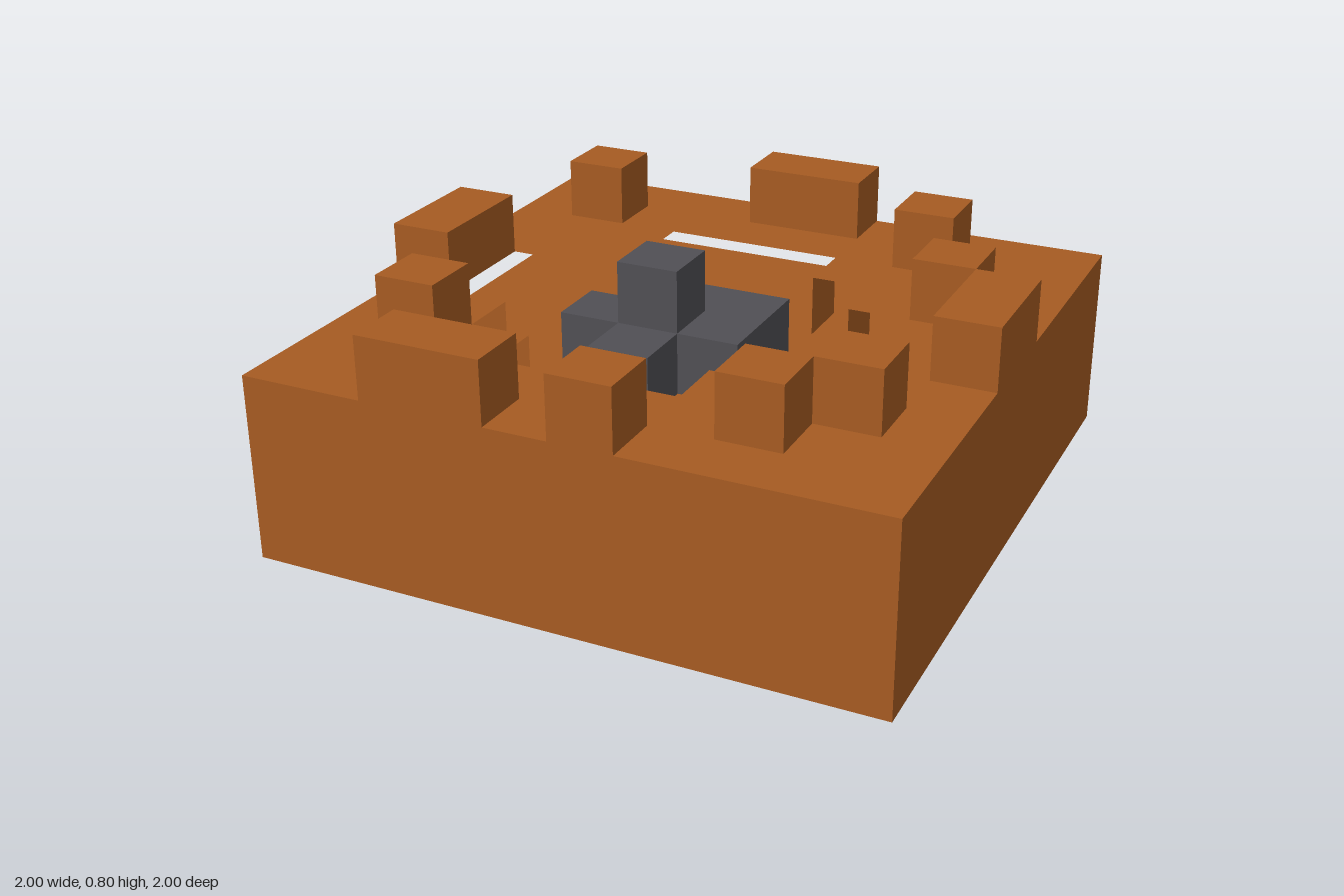
import * as THREE from 'three';

const earth = new THREE.MeshStandardMaterial({ name: 'burnt earth', color: 0xa65b22 });
const stone = new THREE.MeshStandardMaterial({ name: 'dark stone', color: 0x504f54 });

const CELL = 0.2;

// Turns [x, z] corners into plan points (plan y points to the back)
const plan = (corners) => corners.map(([x, z]) => new THREE.Vector2(x, -z));
const square = (x0, z0, x1, z1) => [[x0, z0], [x1, z0], [x1, z1], [x0, z1]];

// Upright slab from a plan outline, with an optional hole
function slab(name, material, outline, y, height, hole) {
  const shape = new THREE.Shape(plan(outline));
  if (hole) shape.holes.push(new THREE.Path(plan(hole)));
  const geometry = new THREE.ExtrudeGeometry(shape, { depth: height, bevelEnabled: false });
  geometry.rotateX(-Math.PI / 2);
  const mesh = new THREE.Mesh(geometry, material);
  mesh.name = name;
  mesh.position.y = y;
  return mesh;
}

// Box from its back-left plan corner, measured in cells
function block(name, material, x, z, y, w, d, h) {
  const mesh = new THREE.Mesh(new THREE.BoxGeometry(w, h, d), material);
  mesh.name = name;
  mesh.position.set(x + w / 2, y + h / 2, z + d / 2);
  return mesh;
}

export function createModel() {
  const model = new THREE.Group();
  model.name = 'crater';

  const ground = square(-1, -1, 1, 1);
  const pit = [
    [-0.4, -0.6], [0.2, -0.6], [0.2, -0.4], [0.4, -0.4], [0.4, -0.2], [0.6, -0.2],
    [0.6, 0.2], [0.4, 0.2], [0.4, 0.4], [0.2, 0.4], [0.2, 0.6], [-0.4, 0.6],
    [-0.4, 0.4], [-0.6, 0.4], [-0.6, 0.2], [-0.8, 0.2], [-0.8, -0.2], [-0.6, -0.2],
    [-0.6, -0.4], [-0.4, -0.4],
  ];

  // Ground: pierced base below, stepped round pit above
  model.add(slab('groundBase', earth, ground, 0, 0.4, square(-0.2, 0, 0, 0.2)));
  model.add(slab('pitRim', earth, ground, 0.4, 0.2, pit));

  // Thrown-up clods around the pit: x, z, width, depth
  const clods = new THREE.Group();
  clods.name = 'clods';
  [
    [-0.2, -1, 2, 1], [-0.8, -0.8, 1, 1], [0.4, -0.8, 1, 1], [0.6, -0.4, 1, 1],
    [0.8, -0.2, 1, 2], [-1, -0.2, 1, 2], [-0.8, 0.4, 1, 1], [0.6, 0.4, 1, 1],
    [0.4, 0.6, 1, 1], [-0.6, 0.8, 2, 1], [0, 0.8, 1, 1],
  ].forEach(([x, z, w, d]) =>
    clods.add(block('clod', earth, x, z, 0.6, w * CELL, d * CELL, CELL)));
  model.add(clods);

  // Rock: a central column through the ground with a ragged cross around it
  const rock = new THREE.Group();
  rock.name = 'rock';
  rock.add(block('rockColumn', stone, -0.2, 0, 0, CELL, CELL, 0.8));
  rock.add(slab('rockCross', stone, [
    [-0.2, -0.2], [0.2, -0.2], [0.2, 0.2], [0, 0.2], [0, 0.4],
    [-0.2, 0.4], [-0.2, 0.2], [-0.4, 0.2], [-0.4, 0], [-0.2, 0],
  ], 0.4, 0.2));
  model.add(rock);

  return model;
}
